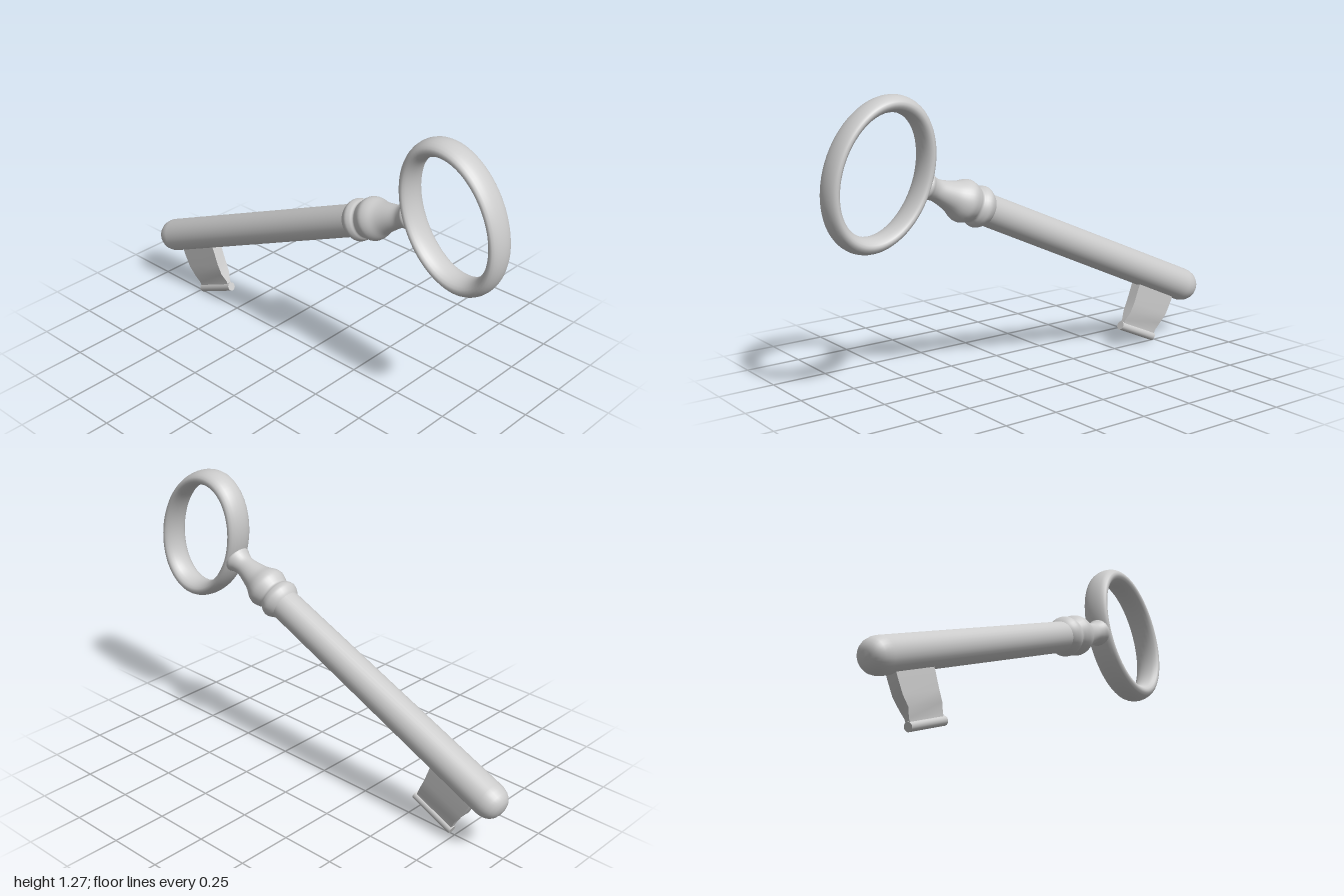
import * as THREE from 'three';
import { toCreasedNormals } from 'three/addons/utils/BufferGeometryUtils.js';

const material = new THREE.MeshStandardMaterial({ color: 0xcccccc });

function add(group, name, geometry) {
  const mesh = new THREE.Mesh(geometry, material);
  mesh.name = name;
  group.add(mesh);
  return mesh;
}

// Turned part along the key's long axis (local x); points are [position, radius]
function turned(points, divisions) {
  const path = points.map(([u, r]) => new THREE.Vector2(r, u));
  const profile = divisions ? new THREE.SplineCurve(path).getPoints(divisions) : path;
  return new THREE.LatheGeometry(profile, 32).rotateZ(-Math.PI / 2);
}

// Flat blade; rows are [height, tip end, ring end, half thickness], top to bottom
function blade(rows) {
  const geometry = new THREE.BoxGeometry(1, 1, 1, 1, rows.length - 1, 1);
  const pos = geometry.attributes.position;
  for (let i = 0; i < pos.count; i++) {
    const row = Math.round((0.5 - pos.getY(i)) * (rows.length - 1));
    const [v, tip, back, half] = rows[row];
    pos.setXYZ(i, pos.getX(i) < 0 ? tip : back, v, Math.sign(pos.getZ(i)) * half);
  }
  return toCreasedNormals(geometry, 0.6);
}

export function createModel() {
  const model = new THREE.Group();
  model.name = 'key';

  // Key is built lying along local x (ring at +x, bit below), then tilted
  const key = new THREE.Group();
  key.name = 'tiltedKey';
  key.position.set(0, 0.757, 0.241);
  key.rotation.set(0, -Math.PI / 2, THREE.MathUtils.degToRad(23.8));
  model.add(key);

  // Oval bow: a torus stretched to an ellipse
  const ring = add(key, 'bowRing', new THREE.TorusGeometry(1, 0.125, 20, 72));
  ring.scale.set(0.2065, 0.2915, 0.5);
  ring.position.set(0.545, -0.023, 0);

  // Slightly tapered shaft with a rounded tip
  add(key, 'shaft', turned([
    [-1.335, 0], [-1.333, 0.025], [-1.325, 0.045], [-1.312, 0.06],
    [-1.295, 0.07], [-1.272, 0.076], [-1.25, 0.077], [0.02, 0.07],
  ]));

  // Collar with two beads, narrowing to a flared neck at the ring
  add(key, 'collar', turned([
    [-0.012, 0.066], [0.005, 0.08], [0.03, 0.091], [0.052, 0.086], [0.068, 0.077],
    [0.088, 0.085], [0.115, 0.093], [0.142, 0.087], [0.18, 0.068],
    [0.23, 0.054], [0.27, 0.047], [0.3, 0.053], [0.32, 0.062], [0.335, 0.058],
  ], 56));

  // Bit: blade hanging from the shaft near the tip
  add(key, 'bitBlade', blade([
    [-0.03, -1.212, -0.982, 0.026],
    [-0.09, -1.212, -0.982, 0.026],
    [-0.16, -1.207, -0.986, 0.026],
    [-0.21, -1.19, -0.984, 0.024],
    [-0.25, -1.187, -0.98, 0.011],
    [-0.28, -1.187, -0.98, 0.011],
  ]));

  // Rounded bar along the bottom of the bit
  const bar = add(key, 'bitBar', new THREE.CylinderGeometry(0.02, 0.02, 0.22, 20));
  bar.rotation.z = Math.PI / 2;
  bar.position.set(-1.081, -0.281, 0);

  return model;
}
